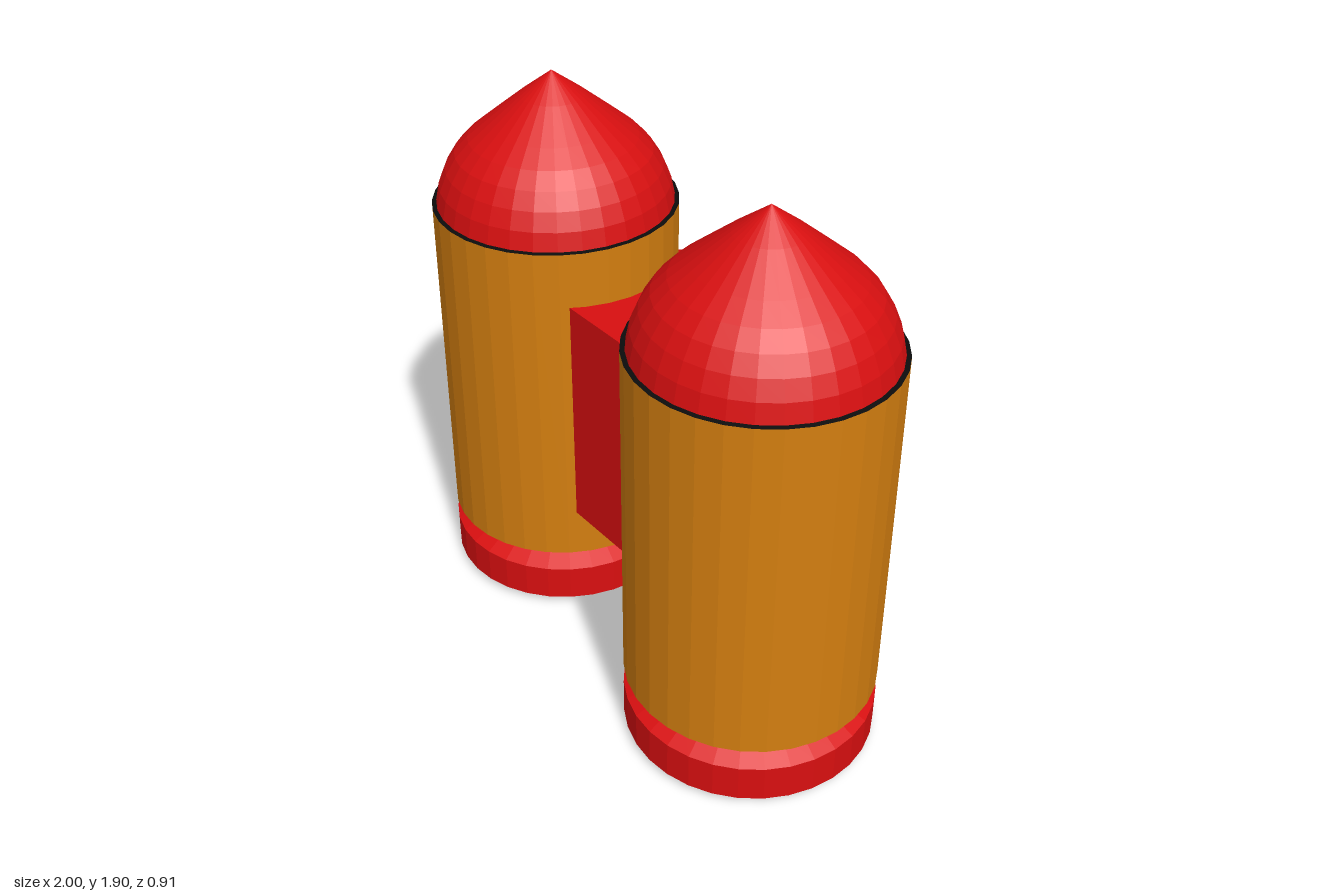
import * as THREE from 'three';

const mat = (name, color) => {
  const m = new THREE.MeshStandardMaterial({ color });
  m.name = name;
  m.flatShading = true;
  return m;
};

// Faceted body of revolution from [radius, height] pairs, bottom to top
function turned(name, points, material) {
  const profile = points.map(([r, y]) => new THREE.Vector2(r, y));
  const mesh = new THREE.Mesh(new THREE.LatheGeometry(profile, 32), material);
  mesh.name = name;
  return mesh;
}

// Outline of a rectangle with rounded corners, counter-clockwise seen from +z
function roundedOutline(hw, hh, r, z) {
  const pts = [], steps = 3;
  [[1, 1], [-1, 1], [-1, -1], [1, -1]].forEach(([sx, sy], k) => {
    for (let i = 0; i <= steps; i++) {
      const a = (k + i / steps) * Math.PI / 2;
      pts.push([sx * (hw - r) + r * Math.cos(a), sy * (hh - r) + r * Math.sin(a), z]);
    }
  });
  return pts;
}

// Closed solid through equal-length outlines, ordered from front to back
function loft(rings) {
  const n = rings[0].length, pos = rings.flat(2), index = [];
  for (let j = 0; j < rings.length - 1; j++) {
    for (let i = 0; i < n; i++) {
      const a = j * n + i, b = j * n + (i + 1) % n, c = a + n, d = b + n;
      index.push(a, c, b, b, c, d);
    }
  }
  const last = (rings.length - 1) * n;
  for (let i = 1; i < n - 1; i++) {
    index.push(0, i, i + 1, last, last + i + 1, last + i);
  }
  const g = new THREE.BufferGeometry();
  g.setAttribute('position', new THREE.Float32BufferAttribute(pos, 3));
  g.setIndex(index);
  g.computeVertexNormals();
  return g;
}

export function createModel() {
  const model = new THREE.Group();
  model.name = 'twinTanks';
  const red = mat('red', 0xd90f10);
  const orange = mat('orange', 0xd37e10);
  const black = mat('black', 0x0c0c0c);

  // Two tanks, slightly staggered in depth
  for (const side of [1, -1]) {
    const tank = new THREE.Group();
    tank.name = side > 0 ? 'leftTank' : 'rightTank';
    tank.position.set(side * 0.58, 0, side * 0.036);

    // Foot with a pinched neck below the barrel
    tank.add(turned('foot', [[0, 0.005], [0.21, 0.005], [0.42, 0.03], [0.42, 0.16], [0.335, 0.204], [0.42, 0.24]], red));
    tank.add(turned('barrel', [[0.42, 0.24], [0.42, 1.455]], orange));
    // Dark rim closing the barrel around the dome
    tank.add(turned('rim', [[0.42, 1.455], [0.395, 1.459]], black));
    // Rounded dome running into a cone
    tank.add(turned('dome', [[0.405, 1.457], [0.392, 1.52], [0.367, 1.58], [0.333, 1.635],
      [0.286, 1.685], [0.225, 1.735], [0.11, 1.828], [0, 1.91]], red));
    model.add(tank);
  }

  // Connecting block, bevelled towards the back
  const block = new THREE.Mesh(loft([
    roundedOutline(0.4, 0.42, 0.02, 0.17),
    roundedOutline(0.4, 0.405, 0.05, -0.38),
    roundedOutline(0.39, 0.395, 0.06, -0.425),
    roundedOutline(0.34, 0.345, 0.05, -0.458),
  ]), red);
  block.name = 'connectingBlock';
  block.position.set(0.028, 0.84, 0);
  model.add(block);

  return model;
}
